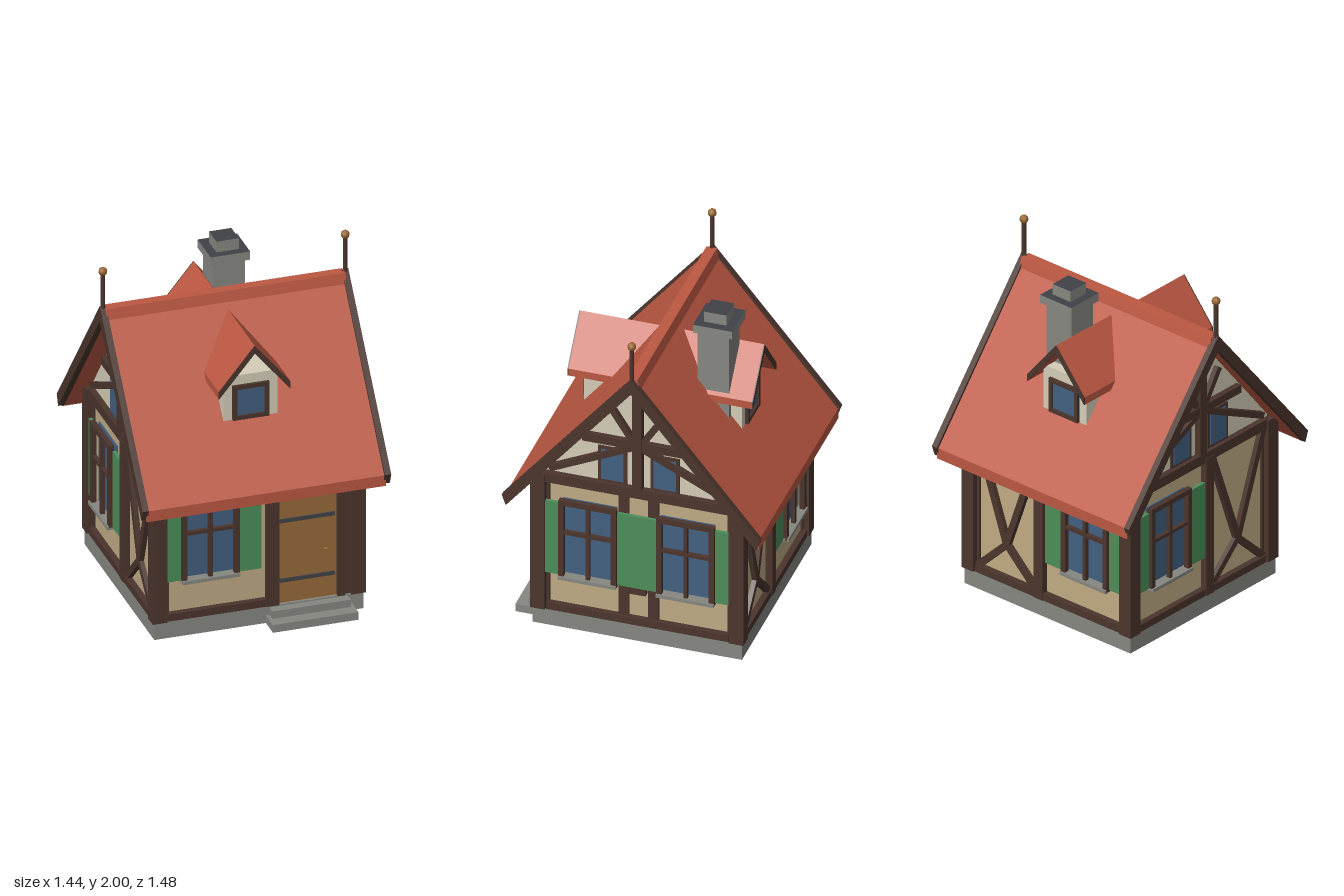
import * as THREE from 'three';

const mat = (name, color) => {
  const m = new THREE.MeshStandardMaterial({ color });
  m.name = name;
  return m;
};
const TAN = mat('tan plaster', 0xc0ab84), CREAM = mat('cream plaster', 0xd5cdb9);
const RED = mat('red roof tile', 0xbc5843), WOOD = mat('dark timber', 0x4b352d);
const GREEN = mat('green shutter', 0x4c8f5a), GLASS = mat('blue glass', 0x436081);
const DOOR = mat('door wood', 0x976a3b), STONE = mat('grey stone', 0x878782);
const SLATE = mat('dark slate', 0x404248), GOLD = mat('bronze', 0x9a6835);

const WALL = 0.565; // distance of every wall plane from the centre

function add(parent, name, geo, material) {
  const m = new THREE.Mesh(geo, material);
  m.name = name;
  parent.add(m);
  return m;
}

// Box given by its two extremes on each axis
function box(parent, name, material, x0, x1, y0, y1, z0, z1) {
  const m = add(parent, name, new THREE.BoxGeometry(x1 - x0, y1 - y0, z1 - z0), material);
  m.position.set((x0 + x1) / 2, (y0 + y1) / 2, (z0 + z1) / 2);
  return m;
}

// Slanting timber on a wall, from (x0,y0) to (x1,y1)
function strut(parent, name, x0, y0, x1, y1, width, z0, z1) {
  const len = Math.hypot(x1 - x0, y1 - y0);
  const m = add(parent, name, new THREE.BoxGeometry(len, width, z1 - z0), WOOD);
  m.position.set((x0 + x1) / 2, (y0 + y1) / 2, (z0 + z1) / 2);
  m.rotation.z = Math.atan2(y1 - y0, x1 - x0);
}

// Outline extruded along z
function prism(pts, z0, z1) {
  const shape = new THREE.Shape(pts.map(p => new THREE.Vector2(p[0], p[1])));
  return new THREE.ExtrudeGeometry(shape, { depth: z1 - z0, bevelEnabled: false }).translate(0, 0, z0);
}
// Outline (z, y) extruded along x
const prismX = (pts, x0, x1) => prism(pts, x0, x1).rotateY(Math.PI / 2);

// Upside-down V: outer apex, outer eave, inner eave, inner apex
const chevron = (apex, w, eave, wIn, eaveIn, apexIn) =>
  [[0, apex], [-w, eave], [-wIn, eaveIn], [0, apexIn], [wIn, eaveIn], [w, eave]];

// Shuttered four-pane window centred on x = c
function shutteredWindow(wall, c) {
  const g = new THREE.Group();
  g.name = 'shutteredWindow';
  g.position.x = c;
  wall.add(g);
  const w = 0.165, y0 = 0.33, y1 = 0.835, f = 0.03, a = 0.59, b = 0.62;
  box(g, 'windowGlass', GLASS, -w + 0.01, w - 0.01, y0, y1 - 0.01, WALL, WALL + 0.008);
  for (const s of [-1, 1]) {
    box(g, 'windowJamb', WOOD, s * (w - f / 2) - f / 2, s * (w - f / 2) + f / 2, y0, y1, a, b);
    box(g, 'shutter', GREEN, s * 0.23 - 0.065, s * 0.23 + 0.065, 0.34, 0.805, 0.58, 0.6);
  }
  box(g, 'windowHead', WOOD, -w, w, y1 - f, y1, a, b);
  box(g, 'windowMullion', WOOD, -0.011, 0.011, y0, y1, a, b - 0.005);
  box(g, 'windowTransom', WOOD, -w, w, 0.615, 0.635, a, b - 0.005);
  box(g, 'windowSill', STONE, -w, w, 0.325, 0.345, WALL, 0.63);
}

// Crossed timbers filling a wall panel
function bracedPanel(wall, x0, x1) {
  const c = (x0 + x1) / 2, y = 0.34;
  for (const x of [x0, x1]) {
    strut(wall, 'upperBrace', x, 0.93, c, y, 0.04, WALL - 0.01, 0.594);
    strut(wall, 'lowerBrace', x, 0.14, c, y, 0.04, WALL - 0.01, 0.592);
  }
}

// One side of the house: sill beam, top beam and inner corner studs
function makeWall(house, name, turn, sillEnd = 0.52) {
  const g = new THREE.Group();
  g.name = name;
  g.rotation.y = turn;
  house.add(g);
  box(g, 'sillBeam', WOOD, -0.52, sillEnd, 0.1, 0.143, WALL - 0.02, 0.6);
  box(g, 'topBeam', WOOD, -0.53, 0.53, 0.925, 0.985, WALL - 0.02, 0.6);
  for (const s of [-1, 1])
    box(g, 'cornerStud', WOOD, s * 0.52 - 0.012, s * 0.52 + 0.012, 0.1, 0.95, WALL - 0.02, 0.578);
  return g;
}

// Timber pattern and small windows of a gable
function gableTimber(wall) {
  box(wall, 'kingPost', WOOD, -0.027, 0.027, 0.98, 1.68, WALL - 0.01, 0.605);
  box(wall, 'collarBeam', WOOD, -0.315, 0.315, 1.24, 1.288, WALL - 0.01, 0.6);
  for (const s of [-1, 1]) {
    strut(wall, 'upperStrut', s * 0.02, 1.27, s * 0.145, 1.465, 0.036, WALL - 0.01, 0.595);
    strut(wall, 'lowerStrut', s * 0.03, 1.245, s * 0.505, 1.015, 0.036, WALL - 0.01, 0.598);
    const c = s * 0.15;
    box(wall, 'gableWindowFrame', WOOD, c - 0.083, c + 0.083, 0.985, 1.21, WALL - 0.01, 0.575);
    box(wall, 'gableWindowGlass', GLASS, c - 0.064, c + 0.064, 1.0, 1.192, 0.573, 0.58);
  }
}

function makeDormer(house, name, turn) {
  const g = new THREE.Group();
  g.name = name;
  g.rotation.y = turn;
  house.add(g);
  box(g, 'dormerBody', CREAM, -0.155, 0.155, 1.15, 1.46, 0.2, 0.453);
  const v = chevron(1.665, 0.205, 1.415, 0.205, 1.37, 1.618);
  add(g, 'dormerRoof', prism(v, 0.05, 0.524), RED);
  add(g, 'dormerBargeboard', prism(v, 0.524, 0.53), WOOD);
  box(g, 'dormerGlass', GLASS, -0.085, 0.085, 1.21, 1.39, 0.453, 0.459);
  for (const s of [-1, 1]) {
    box(g, 'dormerJamb', WOOD, s * 0.092 - 0.012, s * 0.092 + 0.012, 1.195, 1.403, 0.45, 0.472);
    const y = 1.299 + s * 0.092;
    box(g, 'dormerRail', WOOD, -0.104, 0.104, y - 0.012, y + 0.012, 0.45, 0.471);
  }
}

export function createModel() {
  const house = new THREE.Group();
  house.name = 'cottage';

  // Base and steps
  box(house, 'foundation', STONE, -0.598, 0.598, 0, 0.1, -0.598, 0.598);
  box(house, 'upperStep', STONE, 0.06, 0.51, 0, 0.092, 0.55, 0.65);
  box(house, 'lowerStep', STONE, 0.04, 0.53, 0, 0.047, 0.55, 0.72);

  // Plastered body, gable and corner posts
  box(house, 'walls', TAN, -WALL, WALL, 0.1, 0.96, -WALL, WALL);
  add(house, 'gableWalls', prismX([[-WALL, 0.96], [WALL, 0.96], [WALL, 0.99], [0, 1.7], [-WALL, 0.99]], -WALL, WALL), CREAM);
  for (const x of [-0.568, 0.568]) for (const z of [-0.568, 0.568])
    box(house, 'cornerPost', WOOD, x - 0.042, x + 0.042, 0.1, 0.978, z - 0.042, z + 0.042);

  // Front wall with door
  const front = makeWall(house, 'frontWall', 0, 0.05);
  shutteredWindow(front, -0.28);
  box(front, 'doorPost', WOOD, 0.045, 0.115, 0.1, 0.95, WALL - 0.02, 0.605);
  box(front, 'doorPost', WOOD, 0.45, 0.49, 0.1, 0.95, WALL - 0.02, 0.605);
  box(front, 'doorSidePanel', WOOD, 0.49, 0.53, 0.1, 0.95, WALL - 0.02, 0.59);
  box(front, 'door', DOOR, 0.115, 0.45, 0.1, 0.925, WALL - 0.01, 0.58);
  for (const y of [0.6, 0.237])
    box(front, 'doorStrap', SLATE, 0.125, 0.44, y - 0.011, y + 0.011, 0.578, 0.588);
  box(front, 'doorKnob', GOLD, 0.376, 0.394, 0.381, 0.399, 0.578, 0.603);

  // Left-hand wall (+x) with two windows
  const east = makeWall(house, 'leftWall', Math.PI / 2);
  for (const s of [-1, 1]) {
    shutteredWindow(east, s * 0.28);
    box(east, 'middleStud', WOOD, s * 0.085 - 0.03, s * 0.085 + 0.03, 0.12, 0.95, WALL - 0.02, 0.577);
  }
  box(east, 'shutterBlock', WOOD, -0.046, 0.046, 0.295, 0.34, WALL - 0.01, 0.595);
  gableTimber(east);

  // Back wall
  const back = makeWall(house, 'backWall', Math.PI);
  shutteredWindow(back, 0.28);
  box(back, 'middlePost', WOOD, -0.095, -0.03, 0.1, 0.95, WALL - 0.02, 0.605);
  bracedPanel(back, -0.51, -0.1);

  // Right-hand wall (-x)
  const west = makeWall(house, 'rightWall', -Math.PI / 2);
  shutteredWindow(west, -0.28);
  box(west, 'middlePost', WOOD, 0.02, 0.085, 0.1, 0.95, WALL - 0.02, 0.605);
  bracedPanel(west, 0.09, 0.51);
  gableTimber(west);

  // Main roof, ridge cap, bargeboards and finials
  add(house, 'roof', prismX(chevron(1.75, 0.725, 0.86, 0.725, 0.795, 1.69), -0.685, 0.685), RED);
  add(house, 'ridgeCap', prismX([[-0.045, 1.695], [0.045, 1.695], [0.03, 1.755], [-0.03, 1.755]], -0.685, 0.685), RED);
  for (const s of [-1, 1]) {
    const board = chevron(1.765, 0.738, 0.868, 0.715, 0.805, 1.672);
    add(house, 'bargeboard', prismX(board, s * 0.693 - 0.018, s * 0.693 + 0.018), WOOD);
    add(house, 'finialPost', new THREE.CylinderGeometry(0.013, 0.013, 0.22, 8), WOOD).position.set(s * 0.693, 1.85, 0);
    add(house, 'finialBall', new THREE.SphereGeometry(0.025, 8, 6), GOLD).position.set(s * 0.693, 1.975, 0);
  }

  // Dormers
  makeDormer(house, 'frontDormer', 0);
  makeDormer(house, 'backDormer', Math.PI);

  // Chimney, with dark tops on the cap and flue
  const capped = [STONE, STONE, SLATE, STONE, STONE, STONE];
  box(house, 'chimneyStack', STONE, 0.01, 0.19, 1.1, 1.81, -0.39, -0.21);
  box(house, 'chimneyCap', capped, -0.013, 0.213, 1.805, 1.855, -0.415, -0.19);
  box(house, 'chimneyFlue', capped, 0.036, 0.164, 1.855, 1.92, -0.367, -0.238);

  return house;
}
